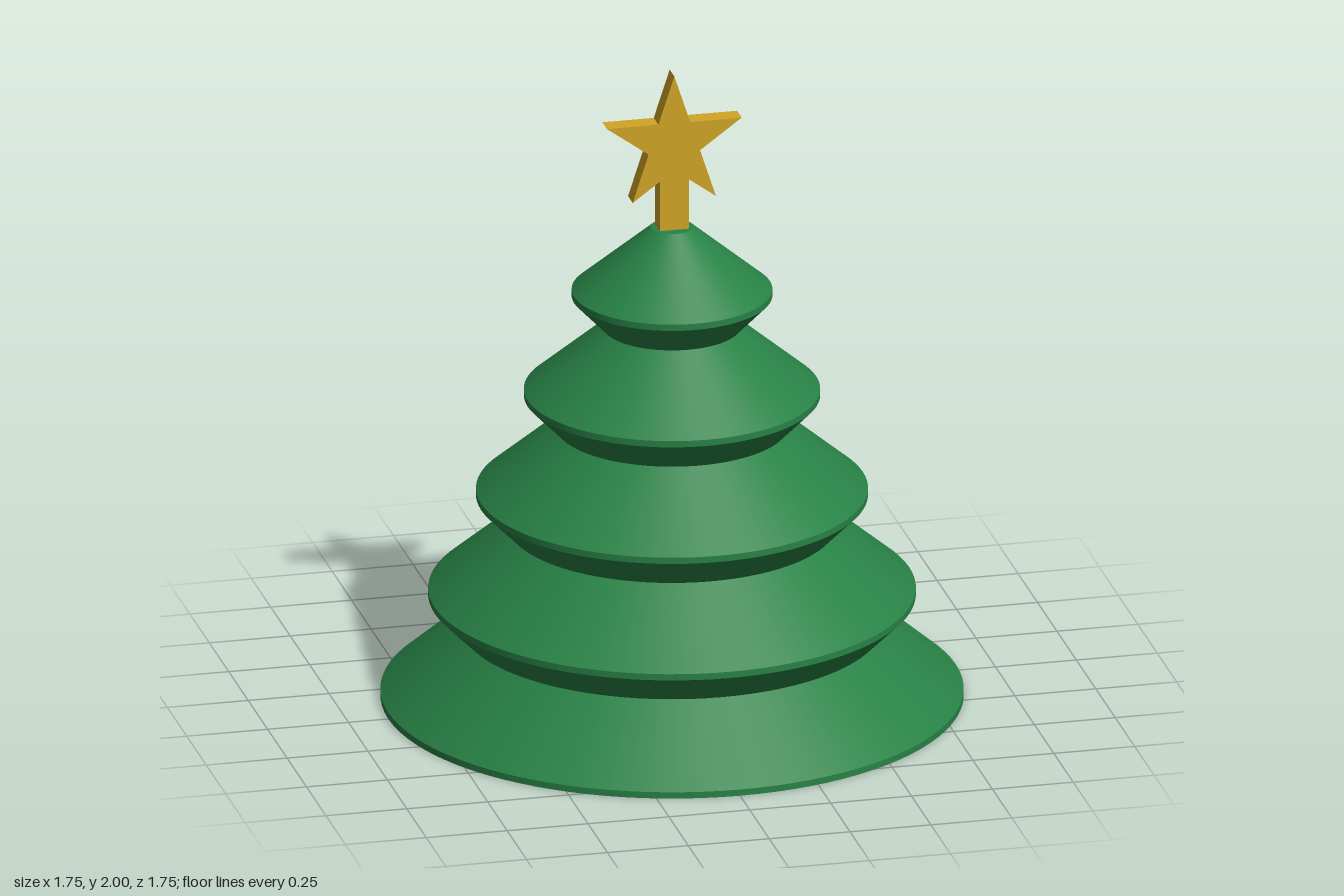
import * as THREE from 'three';

export function createModel() {
  const tree = new THREE.Group();
  tree.name = 'tree';
  const green = new THREE.MeshStandardMaterial({ color: 0x288246 });
  green.name = 'foliage green';
  const gold = new THREE.MeshStandardMaterial({ color: 0xd0a526 });
  gold.name = 'star gold';

  const SEGMENTS = 96;
  const add = (parent, name, geometry, material) => {
    const mesh = new THREE.Mesh(geometry, material);
    mesh.name = name;
    parent.add(mesh);
    return mesh;
  };
  // Open ring wall between two heights, smooth around and sharp at its ends
  const band = (parent, name, r0, y0, r1, y1) => {
    const geometry = new THREE.CylinderGeometry(r1, r0, y1 - y0, SEGMENTS, 1, true);
    add(parent, name, geometry, green).position.y = (y0 + y1) / 2;
  };
  const disc = (name, radius, y, turn) => {
    const mesh = add(tree, name, new THREE.CircleGeometry(radius, SEGMENTS), green);
    mesh.rotation.x = turn;
    mesh.position.y = y;
  };

  // Foliage tiers: thin upright rim, sloping skirt, then undercut up to the next rim
  const TIERS = 5, RIM = 0.02;
  const rimRadius = (i) => 0.877 - 0.1438 * i;
  const waistRadius = (i) => 0.637 - 0.143 * i;
  const rimY = (i) => (i === 0 ? 0 : 0.005 + 0.32 * i);
  const waistY = (i) => 0.228 + 0.3195 * i;
  for (let i = 0; i < TIERS; i++) {
    const tier = new THREE.Group();
    tier.name = `foliageTier${i + 1}`;
    tree.add(tier);
    const r = rimRadius(i), y = rimY(i);
    if (i > 0) band(tier, 'undercut', waistRadius(i - 1), waistY(i - 1), r, y);
    band(tier, 'rim', r, y, r, y + RIM);
    band(tier, 'skirt', r, y + RIM, waistRadius(i), waistY(i));
  }
  disc('base', rimRadius(0), 0, Math.PI / 2);
  disc('crown', waistRadius(TIERS - 1), waistY(TIERS - 1), -Math.PI / 2);

  // Five-pointed star whose lowest notch is filled by its stem
  const R = 0.219, r = R * 0.382, CENTRE = 1.781, STEM = 0.045, DEPTH = 0.06;
  const notchY = CENTRE - r;
  const tipX = R * Math.sin(Math.PI / 5), tipY = CENTRE - R * Math.cos(Math.PI / 5);
  const joinY = notchY + (tipY - notchY) * (STEM / tipX);
  const points = [];
  for (let k = 0; k < 10; k++) {
    if (k === 5) {
      points.push([-STEM, joinY], [-STEM, 1.5], [STEM, 1.5], [STEM, joinY]);
      continue;
    }
    const angle = Math.PI / 2 + k * Math.PI / 5;
    const radius = k % 2 ? r : R;
    points.push([radius * Math.cos(angle), CENTRE + radius * Math.sin(angle)]);
  }
  const outline = new THREE.Shape(points.map(([x, y]) => new THREE.Vector2(x, y)));
  const star = new THREE.ExtrudeGeometry(outline, { depth: DEPTH, bevelEnabled: false });
  star.translate(0, 0, -DEPTH / 2);
  add(tree, 'starWithStem', star, gold);

  return tree;
}
